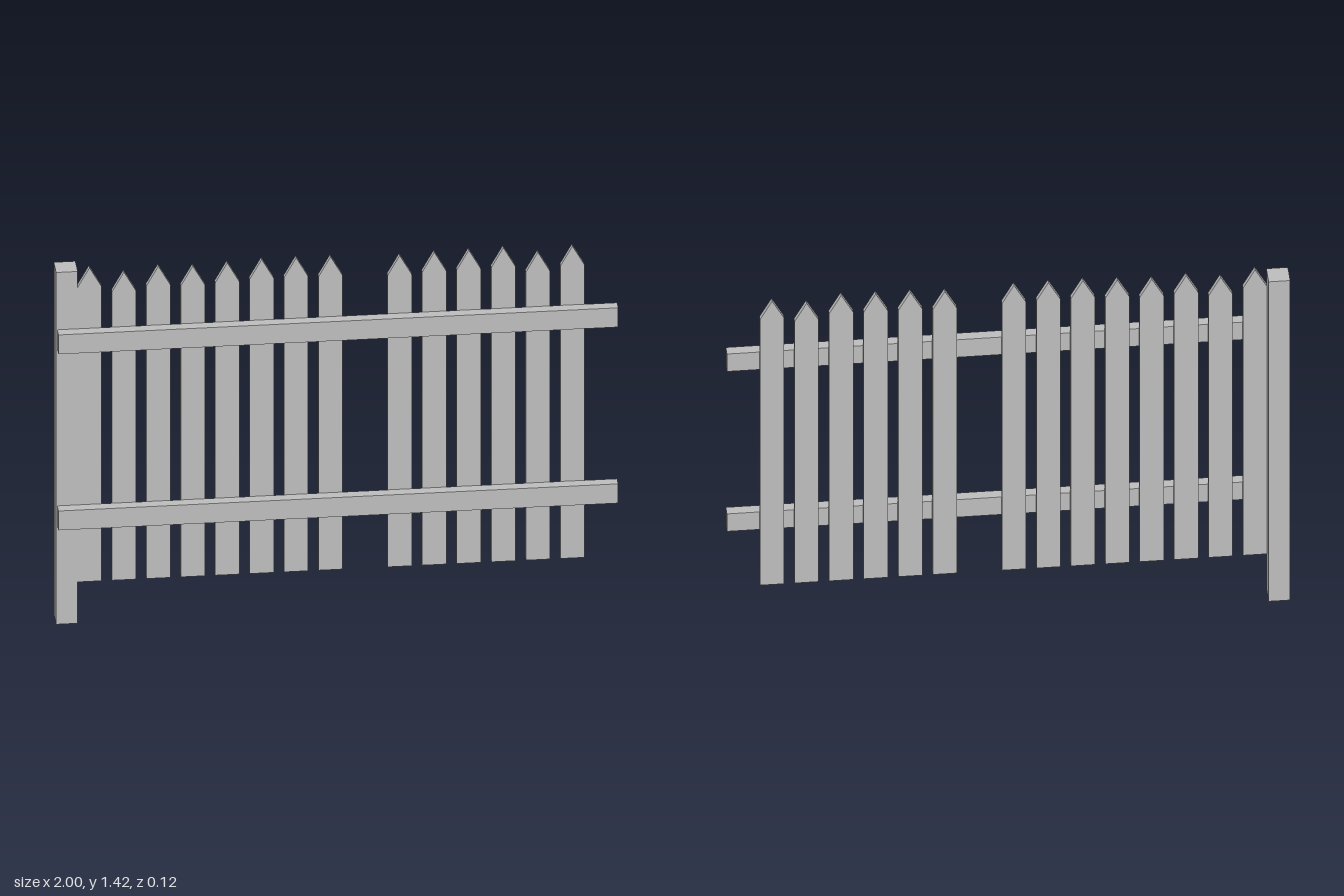
import * as THREE from 'three';

export function createModel() {
  const group = new THREE.Group();
  group.name = 'picketFence';
  const wood = new THREE.MeshStandardMaterial({ color: 0xc0c0c0 });
  wood.name = 'grey wood';

  const add = (name, geometry) => {
    const mesh = new THREE.Mesh(geometry, wood);
    mesh.name = name;
    group.add(mesh);
    return mesh;
  };

  // Box given by its minimum and maximum corners
  const beam = (name, [x0, y0, z0], [x1, y1, z1]) =>
    add(name, new THREE.BoxGeometry(x1 - x0, y1 - y0, z1 - z0))
      .position.set((x0 + x1) / 2, (y0 + y1) / 2, (z0 + z1) / 2);

  // End post and the two rails
  beam('post', [-1, 0, -0.06], [-0.923, 1.405, 0.02]);
  beam('lowerRail', [-0.996, 0.396, 0.02], [1, 0.473, 0.06]);
  beam('upperRail', [-0.996, 1.099, 0.02], [1, 1.176, 0.06]);

  // Pointed pickets, with one missing slat after the eighth
  const bottom = 0.165, halfWidth = 0.043, tip = 0.077;
  const addPicket = (x, peak, i) => {
    const shape = new THREE.Shape([
      new THREE.Vector2(-halfWidth, bottom),
      new THREE.Vector2(halfWidth, bottom),
      new THREE.Vector2(halfWidth, peak - tip),
      new THREE.Vector2(0, peak),
      new THREE.Vector2(-halfWidth, peak - tip),
    ]);
    const geometry = new THREE.ExtrudeGeometry(shape, { depth: 0.02, bevelEnabled: false });
    add(`picket${i + 1}`, geometry).position.x = x;
  };
  const peaks = [1.417, 1.393, 1.41, 1.404, 1.41, 1.417, 1.417, 1.414,
    1.406, 1.412, 1.414, 1.417, 1.392, 1.41];
  peaks.forEach((peak, i) => {
    const x = i < 8 ? -0.881 + i * 0.1228 : 0.225 + (i - 8) * 0.1232;
    addPicket(x, peak, i);
  });

  return group;
}
